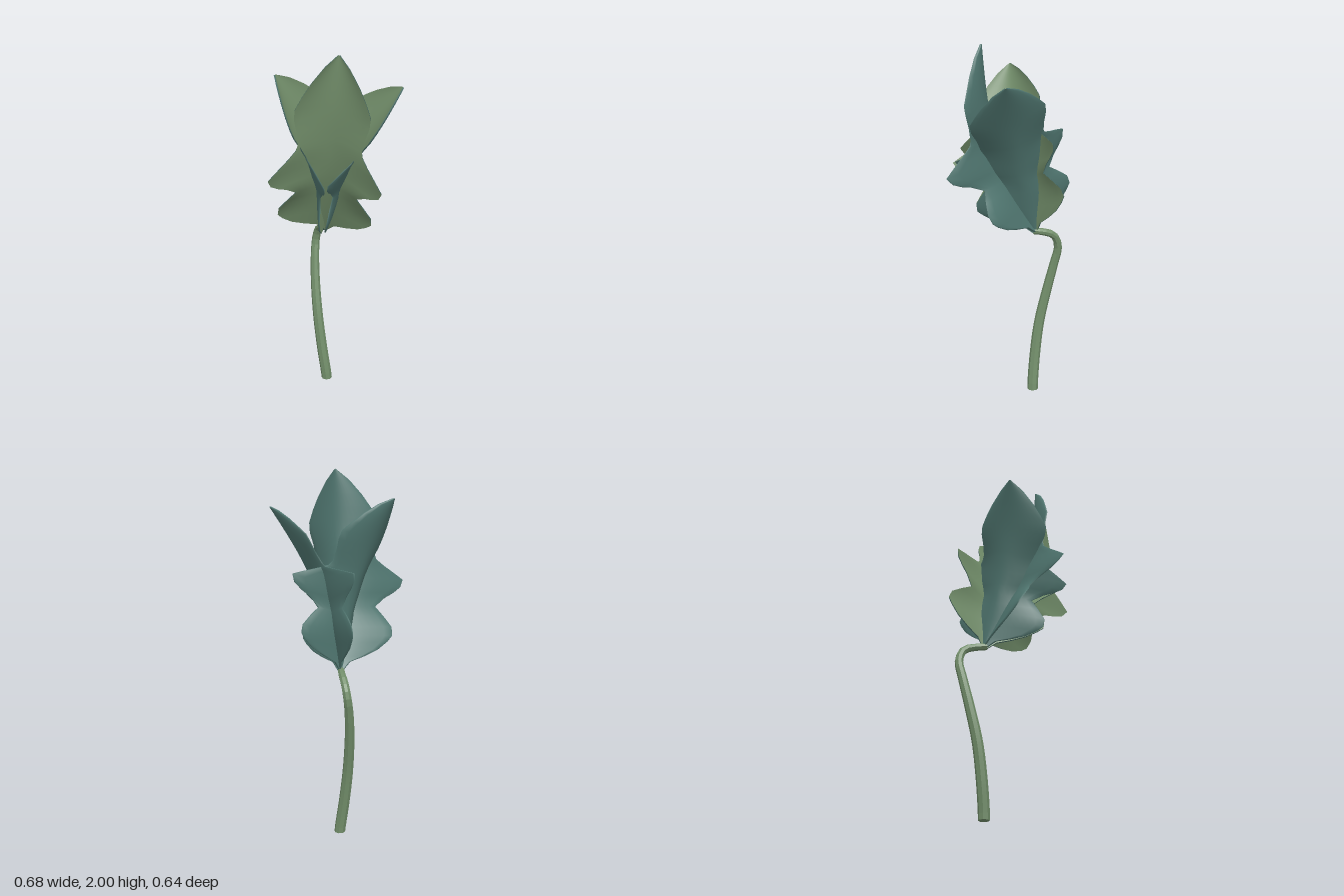
import * as THREE from 'three';

const V = (x, y, z) => new THREE.Vector3(x, y, z);

// Half outline of a lobed leaf: [distance along the midrib, half width, rise of the edge]
const OUTLINE = [
  [0, 0.012, 0], [0.045, 0.05, 0.025], [0.07, 0.12, 0.06], [0.1, 0.185, 0.095],
  [0.14, 0.235, 0.125], [0.17, 0.26, 0.14], [0.215, 0.255, 0.15], [0.27, 0.21, 0.15],
  [0.32, 0.165, 0.145], [0.365, 0.21, 0.19], [0.39, 0.25, 0.225], [0.42, 0.285, 0.255],
  [0.46, 0.298, 0.272], [0.495, 0.255, 0.23], [0.53, 0.21, 0.185], [0.56, 0.178, 0.15],
  [0.585, 0.17, 0.14], [0.65, 0.18, 0.13], [0.71, 0.197, 0.125], [0.76, 0.198, 0.12],
  [0.82, 0.165, 0.095], [0.88, 0.125, 0.07], [0.95, 0.065, 0.035], [1, 0.003, 0],
];
const THICKNESS = 0.008;

// Folded leaf blade: x across, y along the midrib, z towards the inner face.
// The outer face lies behind the inner one and closes onto it with a thin rim.
function leafGeometry(isOuter) {
  const HALF = 7;
  const columns = [];
  for (let j = -HALF; j <= HALF; j++) columns.push([j / HALF, isOuter ? THICKNESS : 0]);
  if (isOuter) {
    columns.unshift([-1, 0]);
    columns.push([1, 0]);
  }
  const n = columns.length;
  const pos = [], index = [];
  OUTLINE.forEach(([s, w, rise], i) => {
    const rib = 0.06 * Math.sin(Math.PI * s);
    columns.forEach(([u, back], j) => {
      const bend = Math.pow(Math.abs(u), 1.15 + 0.9 * s);
      pos.push(u * w, s, rib + (rise - rib) * bend - back);
      if (i < OUTLINE.length - 1 && j < n - 1) {
        const a = i * n + j, b = a + 1, c = b + n, d = a + n;
        if (isOuter) index.push(a, c, b, a, d, c);
        else index.push(a, b, c, a, c, d);
      }
    });
  });
  const g = new THREE.BufferGeometry();
  g.setAttribute('position', new THREE.Float32BufferAttribute(pos, 3));
  g.setIndex(index);
  g.computeVertexNormals();
  return g;
}

// Faceted stem, tapering towards the leaves
function stemGeometry() {
  const SIDES = 8, STEPS = 30;
  const path = new THREE.CatmullRomCurve3([
    V(-0.087, 0, -0.134), V(-0.09, 0.03, -0.134), V(-0.115, 0.2, -0.144), V(-0.14, 0.4, -0.167),
    V(-0.158, 0.6, -0.211), V(-0.163, 0.75, -0.248), V(-0.158, 0.85, -0.27),
    V(-0.138, 0.922, -0.248), V(-0.11, 0.95, -0.19), V(-0.09, 0.96, -0.13),
  ]);
  const g = new THREE.TubeGeometry(path, STEPS, 0.031, SIDES);
  const p = g.attributes.position;
  for (let i = 0; i < p.count; i++) {
    const t = Math.floor(i / (SIDES + 1)) / STEPS;
    const c = path.getPointAt(t);
    const q = V().fromBufferAttribute(p, i).sub(c).multiplyScalar(1 - 0.4 * t * t).add(c);
    p.setXYZ(i, q.x, t === 0 ? 0 : q.y, q.z);
  }
  const faceted = g.toNonIndexed();
  faceted.computeVertexNormals();
  return faceted;
}

export function createModel() {
  const model = new THREE.Group();
  model.name = 'lobedLeafPlant';

  const green = new THREE.MeshStandardMaterial({ color: 0x738f6b });
  green.name = 'leaf green';
  const teal = new THREE.MeshStandardMaterial({ color: 0x4f756f });
  teal.name = 'underside teal';

  const add = (parent, geometry, material, name) => {
    const mesh = new THREE.Mesh(geometry, material);
    mesh.name = name;
    parent.add(mesh);
    return mesh;
  };

  // Curved stem with a closed foot
  add(model, stemGeometry(), green, 'stem');
  const foot = add(model, new THREE.CircleGeometry(0.031, 8), green, 'stemFoot');
  foot.rotation.x = Math.PI / 2;
  foot.position.set(-0.087, 0, -0.134);

  // Three leaves sharing one base: tip, direction of the inner face, width and fold depth
  const base = V(-0.09, 0.955, -0.14);
  const inner = leafGeometry(false), outer = leafGeometry(true);
  const leaves = [
    ['frontLeaf', V(0.01, 2, 0.15), V(0, 0, 1), 0.98, 1.2],
    ['rightLeaf', V(-0.333, 1.87, 0.02), V(0.911, 0.177, 0.373), 1.02, 1],
    ['leftLeaf', V(0.33, 1.81, -0.01), V(-0.861, 0.378, 0.341), 1.05, 0.93],
  ];
  for (const [name, tip, face, width, fold] of leaves) {
    const axis = tip.clone().sub(base);
    const length = axis.length();
    axis.normalize();
    const across = axis.clone().cross(face).normalize();
    const normal = across.clone().cross(axis);
    const leaf = new THREE.Group();
    leaf.name = name;
    leaf.quaternion.setFromRotationMatrix(new THREE.Matrix4().makeBasis(across, axis, normal));
    leaf.position.copy(base);
    leaf.scale.set(width, length, fold);
    add(leaf, inner, green, name + 'InnerFace');
    add(leaf, outer, teal, name + 'OuterFace');
    model.add(leaf);
  }
  return model;
}
